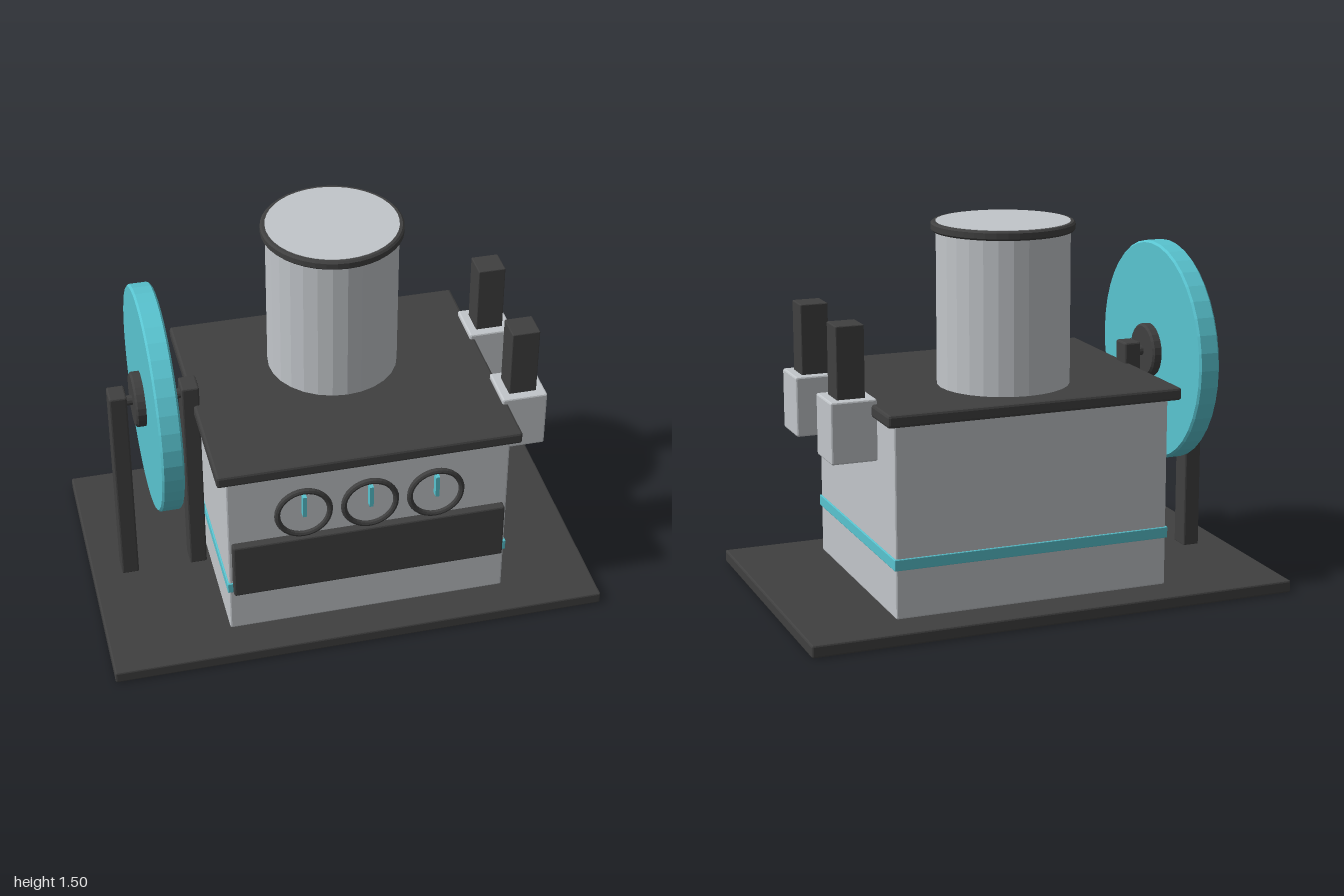
import * as THREE from 'three';
import { RoundedBoxGeometry } from 'three/addons/geometries/RoundedBoxGeometry.js';

export function createModel() {
  const model = new THREE.Group();
  const material = (name, color, flatShading = false) => {
    const m = new THREE.MeshStandardMaterial({ color, flatShading });
    m.name = name;
    return m;
  };
  const dark = material('charcoal', 0x404040, true);
  const grey = material('light grey', 0xc2c6ca, true);
  const teal = material('teal', 0x59c4d0, true);

  const add = (name, geometry, mat, x, y, z) => {
    const mesh = new THREE.Mesh(geometry, mat);
    mesh.name = name;
    mesh.position.set(x, y, z);
    model.add(mesh);
    return mesh;
  };
  // Softly edged box given by its extents
  const box = (name, mat, x0, x1, y0, y1, z0, z1, r = 0.007) =>
    add(name, new RoundedBoxGeometry(x1 - x0, y1 - y0, z1 - z0, 1, r), mat,
      (x0 + x1) / 2, (y0 + y1) / 2, (z0 + z1) / 2);
  // Disc or shaft lying along x, with small chamfers
  const disc = (name, mat, radius, x0, x1, y, z, sides, c = 0.008) => {
    const h = (x1 - x0) / 2;
    const profile = [[0, -h], [radius - c, -h], [radius, -h + c], [radius, h - c], [radius - c, h], [0, h]]
      .map(([a, b]) => new THREE.Vector2(a, b));
    const mesh = add(name, new THREE.LatheGeometry(profile, sides), mat, (x0 + x1) / 2, y, z);
    mesh.rotation.z = -Math.PI / 2;
    return mesh;
  };

  // Base, housing, trim band and lid
  box('basePlate', dark, -1, 1, 0, 0.05, -0.62, 0.62);
  box('housing', grey, -0.51, 0.62, 0.05, 0.815, -0.47, 0.47);
  box('trimBand', teal, -0.516, 0.626, 0.245, 0.29, -0.476, 0.476, 0.003);
  box('lid', dark, -0.55, 0.656, 0.81, 0.86, -0.51, 0.51, 0.01);

  // Drum with a rim and top plate
  const cx = 0.055, drumZ = -0.15;
  add('drum', new THREE.CylinderGeometry(0.262, 0.262, 0.62, 28), grey, cx, 1.165, drumZ);
  const rim = [[0, -0.018], [0.274, -0.018], [0.281, -0.011], [0.281, 0.011], [0.274, 0.018], [0, 0.018]]
    .map(([a, b]) => new THREE.Vector2(a, b));
  add('drumRim', new THREE.LatheGeometry(rim, 40), dark, cx, 1.482, drumZ);
  add('drumTop', new THREE.CylinderGeometry(0.262, 0.262, 0.006, 40), grey, cx, 1.499, drumZ);

  // Front panel and three gauges
  box('frontPanel', dark, -0.495, 0.605, 0.245, 0.492, 0.46, 0.502);
  for (const x of [cx - 0.265, cx, cx + 0.265]) {
    const face = add('gaugeFace', new THREE.CylinderGeometry(0.105, 0.105, 0.015, 32), grey, x, 0.61, 0.475);
    face.rotation.x = Math.PI / 2;
    add('gaugeRing', new THREE.TorusGeometry(0.105, 0.012, 8, 32), dark, x, 0.61, 0.485);
    add('gaugeNeedle', new THREE.BoxGeometry(0.016, 0.095, 0.03), teal, x, 0.655, 0.495);
  }

  // Flywheel on two posts
  const wheelY = 0.9;
  disc('flywheel', teal, 0.45, -0.745, -0.658, wheelY, 0, 40);
  disc('flywheelHub', dark, 0.11, -0.785, -0.62, wheelY, 0, 24);
  disc('axle', dark, 0.02, -0.83, -0.57, wheelY, 0, 12, 0.002);
  for (const x of [-0.845, -0.56]) {
    box('flywheelPost', dark, x - 0.035, x + 0.035, 0.045, 0.945, -0.045, 0.045);
  }

  // Side valves, each with a plunger and feed pipe
  for (const z of [-0.226, 0.226]) {
    box('valveBody', grey, 0.633, 0.817, 0.638, 0.88, z - 0.092, z + 0.092);
    box('valvePlunger', dark, 0.669, 0.781, 0.87, 1.162, z - 0.056, z + 0.056, 0.004);
    disc('feedPipe', dark, 0.02, 0.6, 0.725, 0.645, z, 10, 0.002);
  }
  return model;
}
